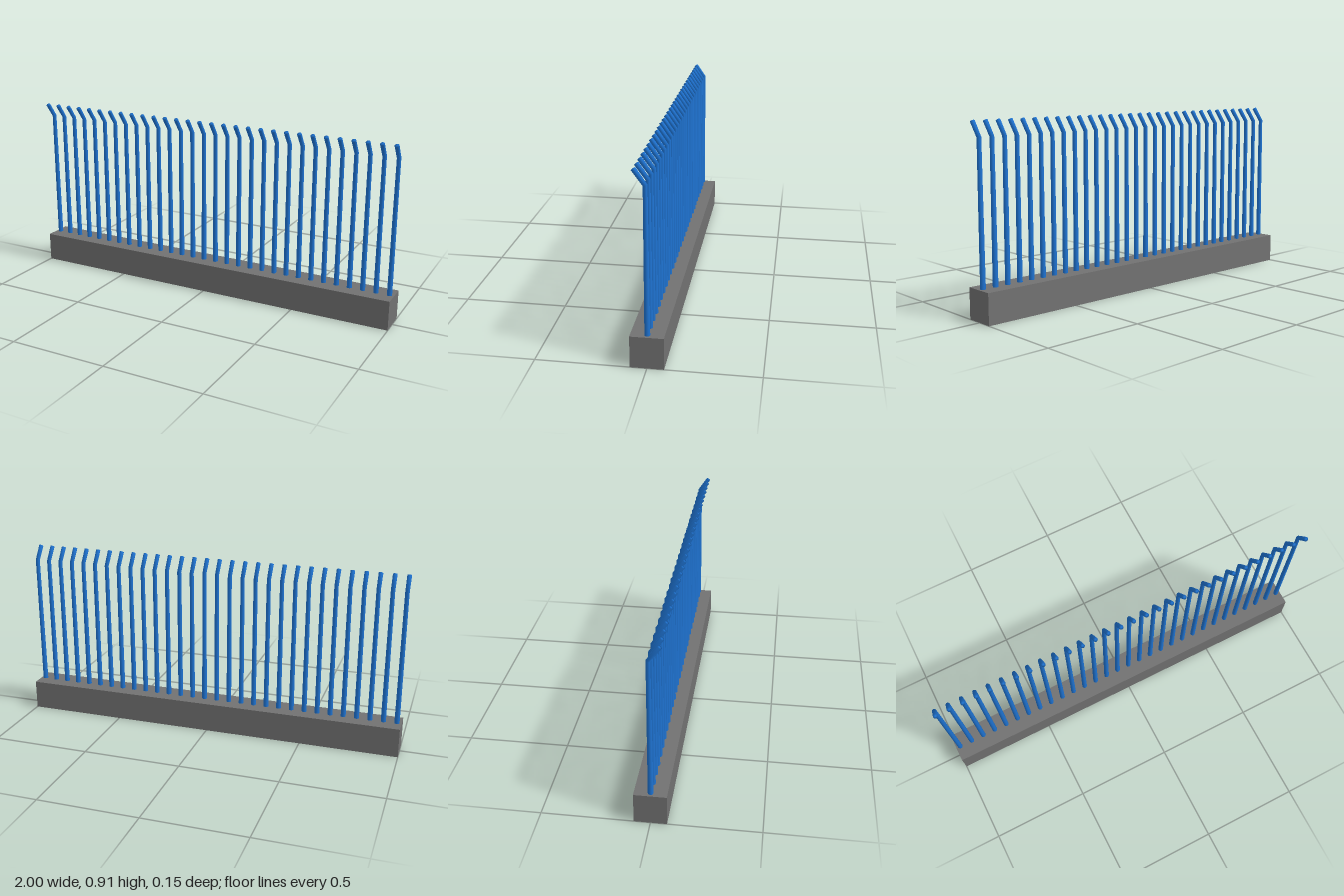
import * as THREE from 'three';
import { mergeVertices } from 'three/addons/utils/BufferGeometryUtils.js';

// One tapered bar that bends forward near its tip
function barGeometry() {
  const rings = [
    { y: 0.15, z: 0, r: 0.0128, tilt: 0 },
    { y: 0.831, z: 0, r: 0.0105, tilt: 0.305 },
    { y: 0.899, z: 0.048, r: 0.0112, tilt: 0.61 },
  ];
  const geo = new THREE.CylinderGeometry(1, 1, 2, 12, 2);
  const pos = geo.attributes.position;
  for (let i = 0; i < pos.count; i++) {
    const ring = rings[Math.round(pos.getY(i)) + 1];
    const x = pos.getX(i) * ring.r;
    const d = pos.getZ(i) * ring.r;
    pos.setXYZ(i, x, ring.y - d * Math.sin(ring.tilt), ring.z + d * Math.cos(ring.tilt));
  }
  // Weld the caps to the sides for continuous smooth normals
  geo.deleteAttribute('normal');
  geo.deleteAttribute('uv');
  const welded = mergeVertices(geo, 1e-5);
  welded.computeVertexNormals();
  return welded;
}

export function createModel() {
  const group = new THREE.Group();
  group.name = 'barFence';
  const concrete = new THREE.MeshStandardMaterial({ name: 'concrete grey', color: 0x727272 });
  const paint = new THREE.MeshStandardMaterial({ name: 'blue paint', color: 0x1e73d2 });

  // Plinth
  const base = new THREE.Mesh(new THREE.BoxGeometry(2, 0.15, 0.15), concrete);
  base.name = 'base';
  base.position.y = 0.075;
  group.add(base);

  // Row of evenly spaced bars
  const count = 30;
  const reach = 0.977;
  const geo = barGeometry();
  for (let i = 0; i < count; i++) {
    const bar = new THREE.Mesh(geo, paint);
    bar.name = `bar${i + 1}`;
    bar.position.x = -reach + (2 * reach * i) / (count - 1);
    group.add(bar);
  }
  return group;
}
